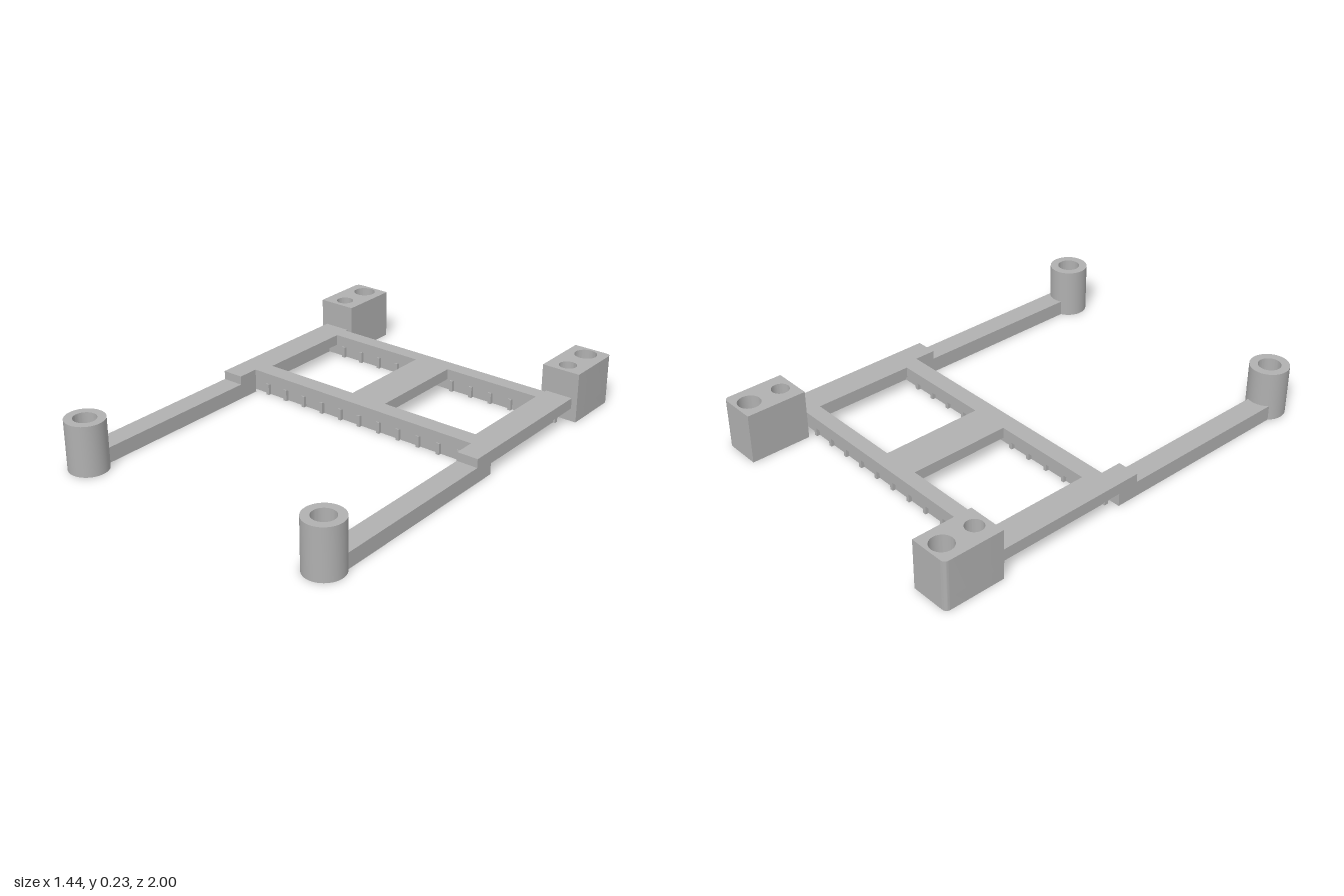
import * as THREE from 'three';
import { toCreasedNormals } from 'three/addons/utils/BufferGeometryUtils.js';

export function createModel() {
  const model = new THREE.Group();
  model.name = 'mountingBracket';
  const grey = new THREE.MeshStandardMaterial({ color: 0xb0b0b0 });
  grey.name = 'grey plastic';

  const add = (name, geometry) => {
    const mesh = new THREE.Mesh(geometry, grey);
    mesh.name = name;
    model.add(mesh);
  };

  // Box given by its limits on each axis
  const box = (name, x0, x1, y0, y1, z0, z1) => {
    const g = new THREE.BoxGeometry(Math.abs(x1 - x0), y1 - y0, z1 - z0);
    g.translate((x0 + x1) / 2, (y0 + y1) / 2, (z0 + z1) / 2);
    add(name, g);
  };

  // Plan outline (x, -z) raised from y0 to y1
  const raise = (name, shape, y0, y1) => {
    const g = new THREE.ExtrudeGeometry(shape, { depth: y1 - y0, bevelEnabled: false, curveSegments: 24 });
    g.rotateX(-Math.PI / 2).translate(0, y0, 0);
    add(name, toCreasedNormals(g, 0.6));
  };
  const circle = (path, x, z, r) => path.absarc(x, -z, r, 0, Math.PI * 2, false);
  const polygon = (path, points) => path.setFromPoints(points.map(([x, z]) => new THREE.Vector2(x, -z)));

  // Upper frame: side rails, two crossbars and a centre bar
  const half = [[0.595, -0.08], [0.595, 0.02], [0.695, 0.02], [0.695, -0.84], [0.565, -0.84], [0.565, -0.705]];
  const mirrored = half.map(([x, z]) => [-x, z]).reverse();
  const frame = polygon(new THREE.Shape(), [...half, ...mirrored]);
  for (const s of [-1, 1]) {
    frame.holes.push(polygon(new THREE.Path(),
      [[s * 0.09, -0.635], [s * 0.563, -0.635], [s * 0.563, -0.16], [s * 0.09, -0.16]]));
  }
  raise('upperFrame', frame, 0.06, 0.11);

  for (const s of [-1, 1]) {
    const side = s > 0 ? 'left' : 'right';

    // Long front arm and the step below the frame
    box(side + 'Arm', s * 0.595, s * 0.695, 0, 0.07, 0.018, 0.852);
    box(side + 'ArmStep', s * 0.595, s * 0.695, 0, 0.06, -0.08, 0.018);

    // Front post with a through hole
    const post = new THREE.Shape();
    circle(post, s * 0.63, 0.91, 0.088);
    post.holes.push(circle(new THREE.Path(), s * 0.63, 0.91, 0.051));
    raise(side + 'FrontPost', post, 0, 0.23);

    // Rear block, rounded at the outer back corner, with a wider recess below
    const block = (pilot) => {
      const b = new THREE.Shape();
      b.moveTo(s * 0.54, 0.718);
      b.lineTo(s * 0.722, 0.718);
      b.lineTo(s * 0.722, 0.975);
      b.quadraticCurveTo(s * 0.722, 1, s * 0.697, 1);
      b.lineTo(s * 0.54, 1);
      b.closePath();
      b.holes.push(circle(new THREE.Path(), s * 0.63, -0.935, 0.051));
      b.holes.push(circle(new THREE.Path(), s * 0.63, -0.78, pilot));
      return b;
    };
    raise(side + 'RearBlockBase', block(0.055), 0, 0.06);
    raise(side + 'RearBlock', block(0.04), 0.06, 0.23);
  }

  // Toothed ribs under the crossbars
  const top = 0.053;
  for (const [name, z] of [['front', -0.11], ['rear', -0.665]]) {
    box(name + 'Rib', -0.655, 0.655, 0, top, z - 0.009, z + 0.009);
    for (let i = -6; i <= 6; i++) {
      const x = i * 0.106;
      box(name + 'RibTooth', x - 0.008, x + 0.008, 0, top, z - 0.024, z + 0.024);
    }
  }

  // Ribs running front to back, joining the toothed ones
  for (const x of [-0.636, 0, 0.636]) {
    box('longRib', x - 0.008, x + 0.008, 0, top, -0.665, -0.11);
  }

  return model;
}
